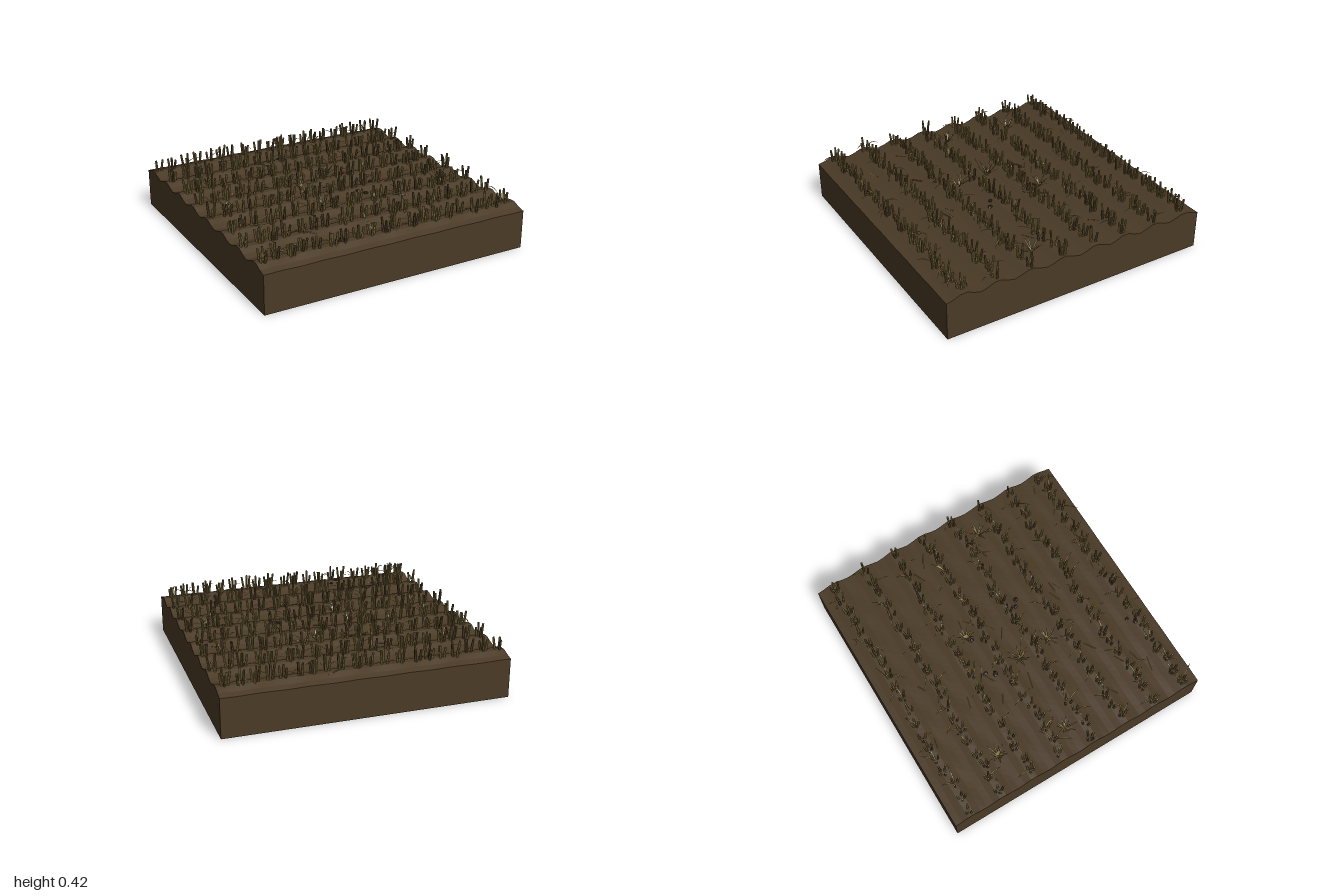
import * as THREE from 'three';
import { mergeGeometries } from 'three/addons/utils/BufferGeometryUtils.js';

const flat = (name, color, side = THREE.FrontSide) => {
  const m = new THREE.MeshStandardMaterial({ color, flatShading: true, side });
  m.name = name;
  return m;
};

// Small seeded generator
let seed = 11;
const rand = (a = 0, b = 1) => {
  seed = (seed * 16807) % 2147483647;
  return a + (b - a) * (seed / 2147483647);
};

// Ridge and furrow height, eight ridges across z
const ground = (x, z) =>
  0.297 - 0.018 * Math.cos(z * Math.PI * 8) + 0.0015 * Math.sin(x * 19 + z * 31);

// Curved, tapering blade that rises from its base and droops outward
function blade(x, y, z, yaw, reach, rise, fall, width) {
  const pos = [], index = [], steps = 4;
  for (let i = 0; i <= steps; i++) {
    const t = i / steps;
    const w = 0.5 * width * (0.35 + 1.3 * t) * (1 - t * t) + 0.0006;
    const r = reach * t, h = y + rise * t - fall * t * t;
    for (const s of [-1, 1]) {
      pos.push(x + Math.cos(yaw) * r - s * Math.sin(yaw) * w, h,
        z + Math.sin(yaw) * r + s * Math.cos(yaw) * w);
    }
    if (i < steps) {
      const k = i * 2;
      index.push(k, k + 1, k + 2, k + 1, k + 3, k + 2);
    }
  }
  const g = new THREE.BufferGeometry();
  g.setAttribute('position', new THREE.Float32BufferAttribute(pos, 3));
  g.setIndex(index);
  g.computeVertexNormals();
  return g;
}

// Cut stalk leaning away from the clump centre
function stalk(x, z, dx, dz, height) {
  const g = new THREE.CylinderGeometry(0.0075, 0.009, height, 6);
  g.translate(0, height / 2, 0);
  g.rotateZ(-dx * 7);
  g.rotateX(dz * 7);
  g.translate(x + dx, ground(x, z) - 0.012, z + dz);
  return g;
}

export function createModel() {
  const model = new THREE.Group();
  const soil = flat('soil', 0x4a3a26);
  const clodSoil = flat('dark soil', 0x35281a);
  const straw = flat('straw', 0x7d6a3c);
  const darkStraw = flat('weathered straw', 0x5e4d2c);
  const dryLeaf = flat('dry leaf', 0x8e7842, THREE.DoubleSide);
  const weed = flat('dry weed', 0x857444, THREE.DoubleSide);

  const add = (name, geometry, material, parent = model) => {
    const mesh = new THREE.Mesh(geometry, material);
    mesh.name = name;
    parent.add(mesh);
  };

  // Soil block with ploughed top
  const block = new THREE.BoxGeometry(2, 1, 2, 40, 1, 40);
  const p = block.attributes.position;
  for (let i = 0; i < p.count; i++) {
    p.setY(i, p.getY(i) < 0 ? 0 : ground(p.getX(i), p.getZ(i)));
  }
  block.computeVertexNormals();
  add('soilBlock', block, soil);

  // Eight rows of stubble clumps, one on each ridge
  for (let row = 0; row < 8; row++) {
    const z0 = -0.875 + row * 0.25;
    const light = [], dark = [], leaves = [];
    for (let i = 0; i < 20; i++) {
      const x = -0.95 + i * 0.1 + rand(-0.015, 0.015);
      const z = z0 + rand(-0.018, 0.018);
      const count = 3 + Math.floor(rand(0, 2.5));
      const turn = rand(0, 6.28);
      for (let k = 0; k < count; k++) {
        const a = turn + (k / count) * 6.28;
        const r = rand(0.012, 0.023);
        (rand() < 0.6 ? light : dark).push(
          stalk(x, z, Math.cos(a) * r, Math.sin(a) * r, rand(0.075, 0.115)));
      }
      const blades = Math.floor(rand(0.6, 3));
      for (let k = 0; k < blades; k++) {
        const yaw = rand(0, 6.28);
        let reach = rand(0.06, 0.13);
        // keep leaves inside the plot
        if (Math.abs(x + Math.cos(yaw) * reach) > 0.99) reach = 0.03;
        const rise = rand(0.08, 0.16);
        leaves.push(blade(x, ground(x, z) + 0.015, z, yaw, reach, rise,
          rise + rand(-0.04, 0.01), 0.012));
      }
    }
    const group = new THREE.Group();
    group.name = 'stubbleRow' + (row + 1);
    model.add(group);
    add('stalks', mergeGeometries(light), straw, group);
    add('weatheredStalks', mergeGeometries(dark), darkStraw, group);
    add('dryLeaves', mergeGeometries(leaves), dryLeaf, group);
  }

  // Weed tufts in the furrows
  const tufts = [[-0.73, -0.5], [0.13, -0.25], [-0.8, 0], [-0.2, 0], [-0.17, 0.25], [0.8, 0.25]];
  for (const [x, z] of tufts) {
    const parts = [];
    for (let k = 0; k < 11; k++) {
      const rise = rand(0.06, 0.13);
      parts.push(blade(x, ground(x, z) - 0.003, z, (k / 11) * 6.28 + rand(-0.2, 0.2),
        rand(0.04, 0.1), rise, rise * rand(0.1, 0.45), 0.013));
    }
    add('weedTuft', mergeGeometries(parts), weed);
  }

  // Loose straw lying on the soil
  const loose = [];
  for (let i = 0; i < 36; i++) {
    const x = rand(-0.9, 0.9), z = rand(-0.93, 0.93), yaw = rand(-0.6, 0.6);
    const length = rand(0.06, 0.13);
    const ex = x + Math.cos(yaw) * length / 2, ez = z + Math.sin(yaw) * length / 2;
    const sx = 2 * x - ex, sz = 2 * z - ez;
    const line = new THREE.LineCurve3(
      new THREE.Vector3(sx, ground(sx, sz) + 0.005, sz),
      new THREE.Vector3(ex, ground(ex, ez) + 0.005, ez));
    loose.push(new THREE.TubeGeometry(line, 1, 0.003, 4));
  }
  add('looseStraw', mergeGeometries(loose), straw);

  // Clods of earth
  const clods = [[-0.21, -0.21], [-0.17, -0.27], [0.32, 0.08], [0.15, 0.18], [0.2, 0.21],
    [-0.35, 0.82], [-0.4, 0.86], [0.1, -0.22]];
  for (const [x, z] of clods) {
    const g = new THREE.DodecahedronGeometry(rand(0.012, 0.02));
    g.scale(1.2, 0.7, 1);
    g.rotateY(rand(0, 3));
    g.translate(x, ground(x, z) + 0.004, z);
    add('clod', g, clodSoil);
  }
  return model;
}
